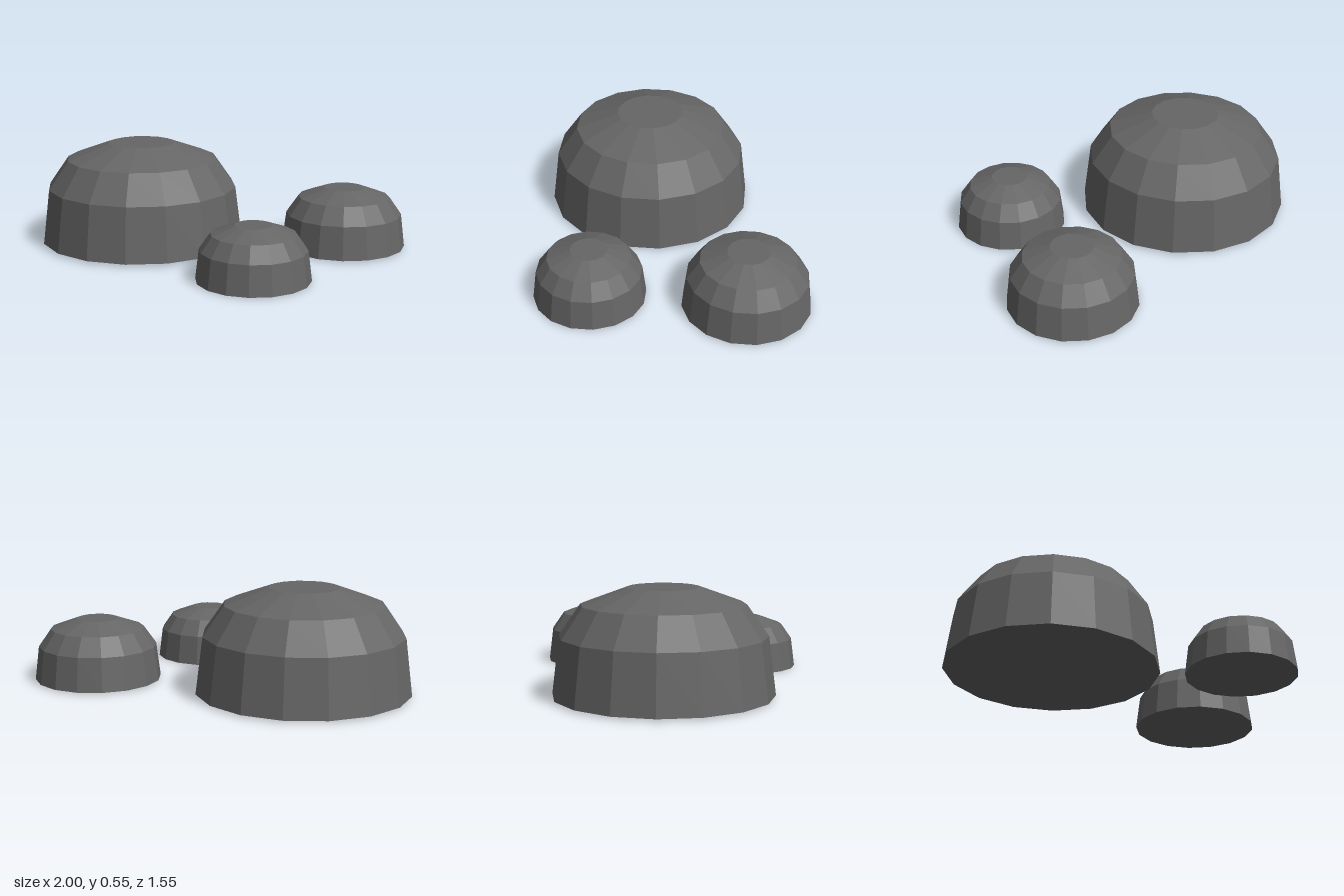
import * as THREE from 'three';

export function createModel() {
  const model = new THREE.Group();
  const material = new THREE.MeshStandardMaterial({ color: 0x666666, flatShading: true });

  // Faceted dome with a closed flat base and a small flat crown, bottom to top
  const profile = [[0, 0], [0.555, 0], [0.518, 0.295], [0.41, 0.45], [0.18, 0.535], [0, 0.535]]
    .map(([r, y]) => new THREE.Vector2(r, y));
  const dome = new THREE.LatheGeometry(profile, 16);

  // Three boulders of one shape at different sizes
  const boulders = [
    ['largeBoulder', -0.445, 0.01, -0.22, 1],
    ['mediumBoulder', 0.667, 0.005, -0.19, 0.6],
    ['smallBoulder', 0.225, 0, 0.483, 0.525],
  ];
  for (const [name, x, y, z, size] of boulders) {
    const boulder = new THREE.Mesh(dome, material);
    boulder.name = name;
    boulder.position.set(x, y, z);
    boulder.scale.setScalar(size);
    model.add(boulder);
  }
  return model;
}
